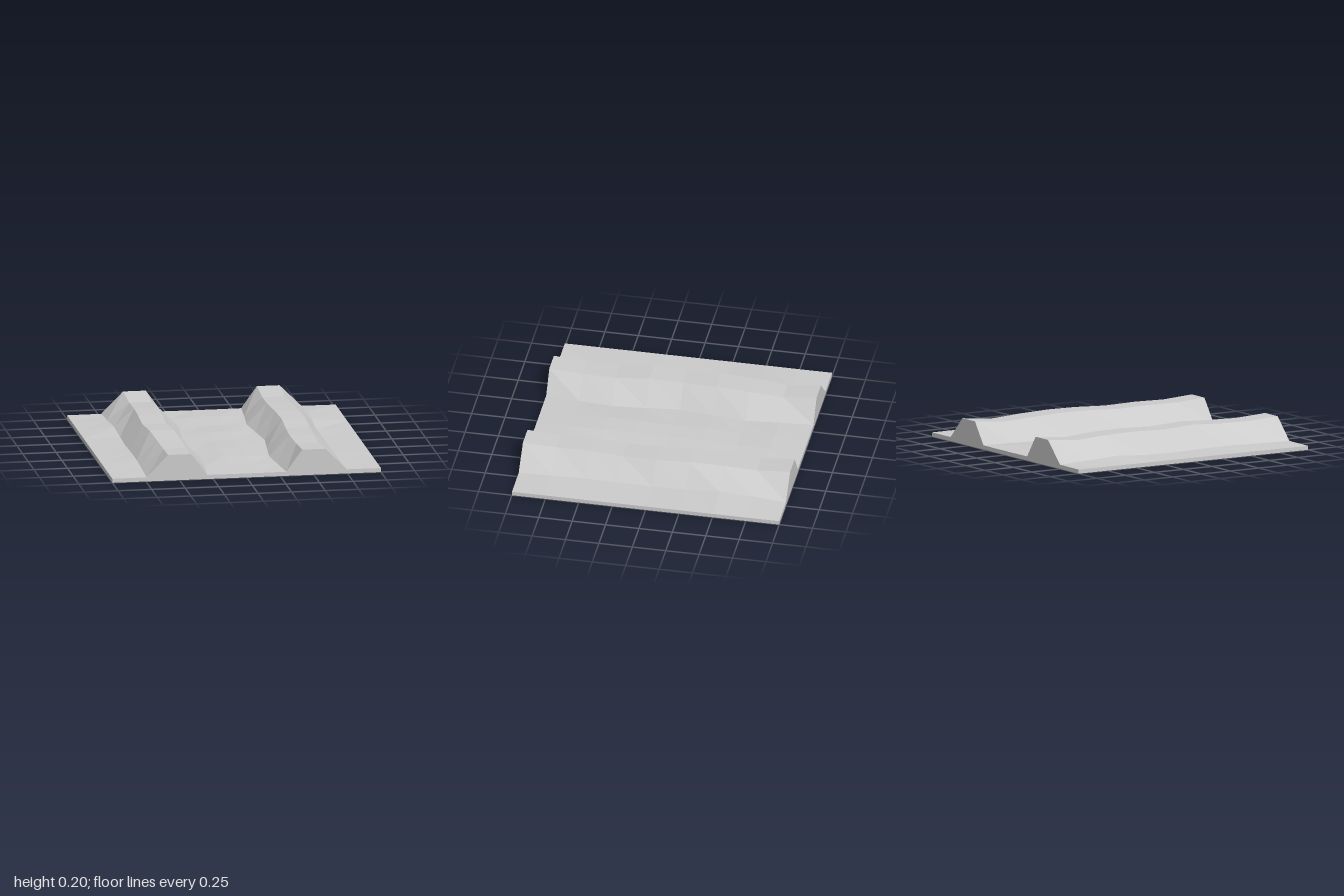
import * as THREE from 'three';

// Stations along z, with the outline of one embankment at each (distance from the centre line)
const zs = [-1, -0.75, -0.5, -0.25, 0, 0.25, 0.5, 0.75, 1];
const innerBase = [0.297, 0.277, 0.252, 0.277, 0.303, 0.277, 0.252, 0.272, 0.295];
const innerTop = [0.413, 0.411, 0.404, 0.417, 0.43, 0.417, 0.403, 0.411, 0.413];
const outerTop = [0.583, 0.578, 0.586, 0.597, 0.608, 0.595, 0.583, 0.578, 0.585];
const outerBase = [0.745, 0.743, 0.735, 0.731, 0.736, 0.733, 0.733, 0.738, 0.745];

// Heights: left and right crests, channel floor and bank foot
const crest = {
  '-1': [0.193, 0.168, 0.185, 0.192, 0.186, 0.197, 0.183, 0.178, 0.193],
  '1': [0.193, 0.17, 0.183, 0.19, 0.185, 0.175, 0.183, 0.179, 0.193],
};
const floor = [0.03, 0.041, 0.034, 0.044, 0.04, 0.045, 0.047, 0.037, 0.03];
const foot = {
  '-1': [0.031, 0.042, 0.052, 0.035, 0.033, 0.038, 0.04, 0.035, 0.031],
  '1': [0.031, 0.047, 0.052, 0.034, 0.032, 0.036, 0.038, 0.034, 0.031],
};
const EDGE = 0.03;

// Half a cross-section, from the centre outwards
function half(i, side) {
  const z = zs[i];
  return [
    [0.08, floor[i]],
    [innerBase[i], 0.031],
    [innerTop[i], crest[side][i]],
    [outerTop[i], crest[side][i]],
    [outerBase[i], foot[side][i]],
    [1, EDGE],
  ].map(([x, y]) => new THREE.Vector3(side * x, y, z));
}

// Surface stretched over rows of points; open underneath
function sheet(name, rows) {
  const n = rows[0].length;
  const index = [];
  for (let r = 0; r < rows.length - 1; r++) {
    for (let c = 0; c < n - 1; c++) {
      const a = r * n + c, b = a + 1, d = a + n, e = d + 1;
      index.push(a, d, b, b, d, e);
    }
  }
  const geometry = new THREE.BufferGeometry().setFromPoints(rows.flat());
  geometry.setIndex(index);
  const flat = geometry.toNonIndexed();
  flat.computeVertexNormals();
  const material = new THREE.MeshStandardMaterial({
    color: 0xcccccc, flatShading: true, side: THREE.DoubleSide,
  });
  const mesh = new THREE.Mesh(flat, material);
  mesh.name = name;
  return mesh;
}

export function createModel() {
  const group = new THREE.Group();
  group.name = 'embankedChannelTile';

  // Full cross-sections, ordered from -x to +x
  const sections = zs.map((_, i) => [...half(i, -1).reverse(), ...half(i, 1)]);
  const strip = (name, from, to) =>
    group.add(sheet(name, sections.map((s) => s.slice(from, to + 1))));

  // Ground strips and the two hollow embankments between them
  strip('rightOuterGround', 0, 1);
  strip('rightEmbankment', 1, 4);
  strip('channelFloor', 4, 7);
  strip('leftEmbankment', 7, 10);
  strip('leftOuterGround', 10, 11);

  // Skirt walls dropping from the surface edges to the ground
  const skirt = (name, edge) =>
    group.add(sheet(name, [edge, edge.map((p) => new THREE.Vector3(p.x, 0, p.z))]));
  skirt('frontWall', sections[zs.length - 1]);
  skirt('backWall', [...sections[0]].reverse());
  skirt('rightWall', sections.map((s) => s[0]));
  skirt('leftWall', sections.map((s) => s[s.length - 1]).reverse());

  return group;
}
